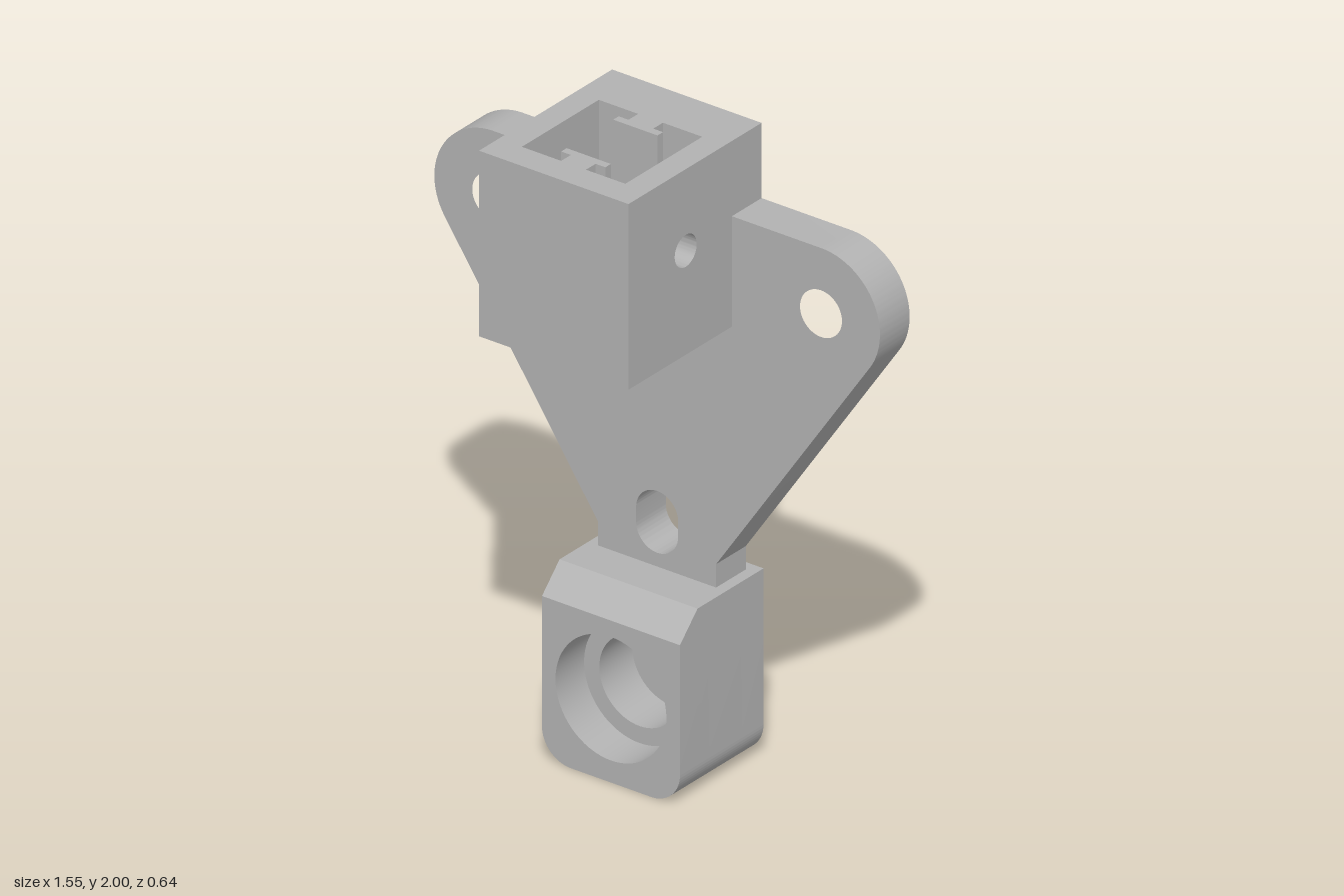
import * as THREE from 'three';
import { toCreasedNormals } from 'three/addons/utils/BufferGeometryUtils.js';

const plastic = new THREE.MeshStandardMaterial({ color: 0xb2b2b2 });
plastic.name = 'grey plastic';

const polygon = (pts) => new THREE.Shape(pts.map(([x, y]) => new THREE.Vector2(x, y)));
const circle = (x, y, r) => new THREE.Path().absarc(x, y, r, 0, Math.PI * 2, true);

// Extrudes a shape from z = from to z = to
function slab(shape, from, to, steps = 1) {
  const g = new THREE.ExtrudeGeometry(shape, { depth: to - from, steps, bevelEnabled: false, curveSegments: 32 });
  return g.translate(0, 0, from);
}

function part(name, geometry) {
  const mesh = new THREE.Mesh(toCreasedNormals(geometry, 0.5), plastic);
  mesh.name = name;
  return mesh;
}

// Triangular plate with rounded ears, two bolt holes and a slot
function mountingPlate() {
  const ear = { x: 0.57, y: 1.56, r: 0.205 }, tangent = -0.599;
  const s = new THREE.Shape();
  s.moveTo(-0.205, 0.56);
  s.lineTo(-0.205, 0.66);
  s.absarc(-ear.x, ear.y, ear.r, Math.PI - tangent, Math.PI / 2, true);
  s.absarc(ear.x, ear.y, ear.r, Math.PI / 2, tangent, true);
  s.lineTo(0.205, 0.66);
  s.lineTo(0.205, 0.56);
  s.closePath();
  for (const side of [-1, 1]) s.holes.push(circle(side * ear.x, ear.y, 0.073));
  const slot = new THREE.Path();
  slot.absarc(0, 0.75, 0.073, 0, Math.PI, false);
  slot.absarc(0, 0.703, 0.073, Math.PI, Math.PI * 2, false);
  slot.closePath();
  s.holes.push(slot);
  return part('mountingPlate', slab(s, -0.285, -0.15));
}

// Square socket: floor, drilled side walls, end walls with T-shaped rails
function socket() {
  const group = new THREE.Group();
  group.name = 'socket';
  const bottom = 1.42, floor = 1.5, top = 2, back = -0.285, front = 0.32;

  const base = new THREE.BoxGeometry(0.52, floor - bottom, front - back);
  base.translate(0, (floor + bottom) / 2, (front + back) / 2);
  group.add(part('socketFloor', base));

  for (const side of [-1, 1]) {
    const wall = polygon([[-front, floor], [-back, floor], [-back, top], [-front, top]]);
    wall.holes.push(circle(-0.06, 1.745, 0.05));
    const g = slab(wall, -0.04, 0.04).rotateY(Math.PI / 2).translate(side * 0.22, 0, 0);
    group.add(part(side > 0 ? 'leftSocketWall' : 'rightSocketWall', g));
  }

  // Profiles use -z as their second coordinate
  const railWall = (name, outer, inner, dir) => {
    const neck = inner + dir * 0.044, tip = inner + dir * 0.069;
    const pts = [[-0.18, outer], [0.18, outer], [0.18, inner], [0.043, inner], [0.043, neck], [0.077, neck],
      [0.077, tip], [-0.077, tip], [-0.077, neck], [-0.043, neck], [-0.043, inner], [-0.18, inner]];
    const g = slab(polygon(pts.map(([x, z]) => [x, -z])), floor, top).rotateX(-Math.PI / 2);
    group.add(part(name, g));
  };
  railWall('frontRailWall', front, 0.23, -1);
  railWall('backRailWall', back, -0.12, 1);
  return group;
}

// Lower block with a stepped blind bore and a chamfered front top edge
function sensorBlock() {
  const group = new THREE.Group();
  group.name = 'boreBlock';
  const outline = (boreRadius) => {
    const w = 0.24, r = 0.1, h = 0.587;
    const s = new THREE.Shape();
    s.moveTo(w, h);
    s.lineTo(-w, h);
    s.lineTo(-w, r);
    s.absarc(-w + r, r, r, Math.PI, Math.PI * 1.5, false);
    s.absarc(w - r, r, r, Math.PI * 1.5, Math.PI * 2, false);
    s.closePath();
    if (boreRadius) s.holes.push(circle(0, 0.262, boreRadius));
    return s;
  };
  group.add(part('blockBack', slab(outline(0), -0.32, -0.22)));
  group.add(part('narrowBore', slab(outline(0.14), -0.22, -0.07)));

  // Middle ring moves to the chamfer start, front top edge drops
  const g = slab(outline(0.193), -0.07, 0.06, 2);
  const p = g.attributes.position;
  for (let i = 0; i < p.count; i++) {
    if (Math.abs(p.getZ(i) + 0.005) < 0.01) p.setZ(i, -0.02);
    else if (p.getZ(i) > 0.05 && p.getY(i) > 0.5) p.setY(i, 0.506);
  }
  group.add(part('wideBore', g));
  return group;
}

export function createModel() {
  const model = new THREE.Group();
  model.name = 'mountBracket';
  model.add(mountingPlate(), socket(), sensorBlock());
  return model;
}
